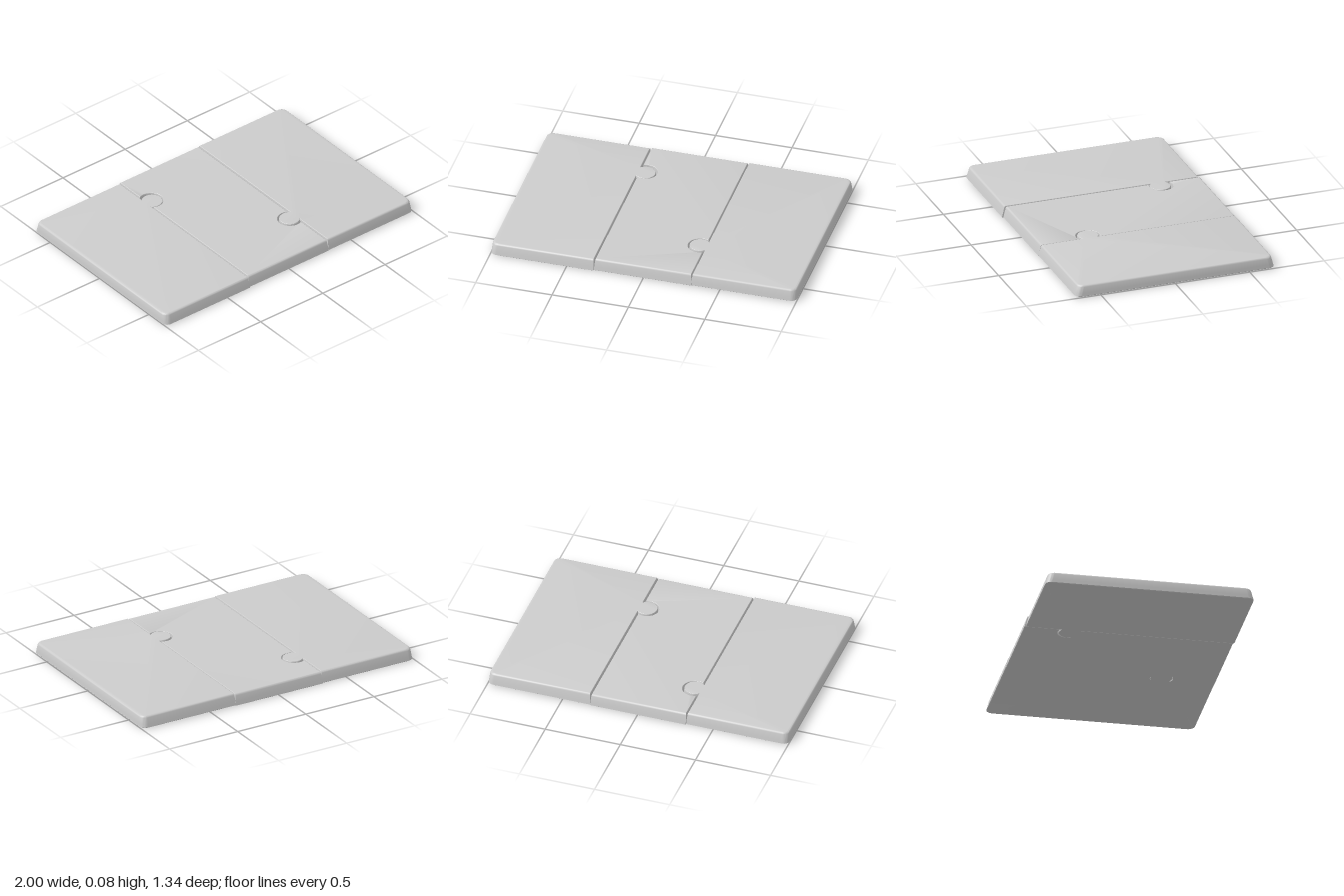
import * as THREE from 'three';
import { toCreasedNormals } from 'three/addons/utils/BufferGeometryUtils.js';

const HALF_X = 1, HALF_Z = 0.668, CORNER = 0.04;
const TAB_R = 0.072, TAB_OUT = 0.04;

// Edge profile from bottom to top: height, inset at front/back, inset at ends, half gap at seams
const LEVELS = [
  [0, 0.005, 0.004, 0.002],
  [0.004, 0, 0, 0.0006],
  [0.025, 0.005, 0.002, 0.0008],
  [0.064, 0.015, 0.005, 0.004],
  [0.071, 0.018, 0.008, 0.005],
  [0.0745, 0.022, 0.012, 0.006],
  [0.076, 0.028, 0.018, 0.008],
];

// Rounded outer end, walked from back to front; side is -1 or 1
function endCurve(side) {
  return ([, zi, xi]) => {
    const cx = HALF_X - xi - CORNER, cz = HALF_Z - zi - CORNER, back = [];
    for (let i = 0; i <= 8; i++) {
      const t = (i / 8) * Math.PI / 2;
      back.push([side * (cx + CORNER * Math.sin(t)), -(cz + CORNER * Math.cos(t))]);
    }
    return [...back, ...back.map(([x, z]) => [x, -z]).reverse()];
  };
}

// Seam with a round tab, walked from back to front.
// dir: way the tab points; side: which side of the seam the piece lies on
function seamCurve(x0, cz, dir, side) {
  return ([, zi, , gap]) => {
    const d = side * gap, r = TAB_R + d * dir, z = HALF_Z - zi;
    const start = Math.acos((dir * d - TAB_OUT) / r);
    const pts = [[x0 + d, -z]];
    for (let i = 0; i <= 32; i++) {
      const a = start * (1 - i / 16);
      pts.push([x0 + dir * (TAB_OUT + r * Math.cos(a)), cz - r * Math.sin(a)]);
    }
    pts.push([x0 + d, z]);
    return pts;
  };
}

// Loft the outline through the levels and close it above and below
function makePiece(name, leftEdge, rightEdge) {
  const pos = [], index = [];
  const rings = LEVELS.map((l) => [...leftEdge(l), ...rightEdge(l).reverse()]);
  const n = rings[0].length, last = LEVELS.length - 1;
  rings.forEach((ring, k) => ring.forEach(([x, z]) => pos.push(x, LEVELS[k][0], z)));
  for (let k = 0; k < last; k++) {
    for (let i = 0; i < n; i++) {
      const a = k * n + i, b = k * n + (i + 1) % n;
      index.push(a, b, b + n, a, b + n, a + n);
    }
  }
  const cap = (k) => THREE.ShapeUtils.triangulateShape(
    rings[k].map(([x, z]) => new THREE.Vector2(x, -z)), []);
  cap(last).forEach(([a, b, c]) => index.push(a + last * n, b + last * n, c + last * n));
  cap(0).forEach(([a, b, c]) => index.push(a, c, b));

  const geo = new THREE.BufferGeometry();
  geo.setAttribute('position', new THREE.Float32BufferAttribute(pos, 3));
  geo.setIndex(index);
  const mesh = new THREE.Mesh(
    toCreasedNormals(geo, 0.6),
    new THREE.MeshStandardMaterial({ color: 0xcccccc }));
  mesh.name = name;
  return mesh;
}

export function createModel() {
  const group = new THREE.Group();
  group.name = 'puzzleSlab';

  const seamA = (side) => seamCurve(-0.322, -0.378, 1, side);
  const seamB = (side) => seamCurve(0.315, 0.322, -1, side);

  // Named from the model's own side: its right is -x
  const right = makePiece('rightPiece', endCurve(-1), seamA(-1));
  const middle = makePiece('middlePiece', seamA(1), seamB(-1));
  const left = makePiece('leftPiece', seamB(1), endCurve(1));

  // Pieces sit very slightly out of line with each other
  right.position.z = 0.004;
  middle.position.z = -0.004;
  left.position.set(0, 0.004, -0.004);

  group.add(right, middle, left);
  return group;
}
